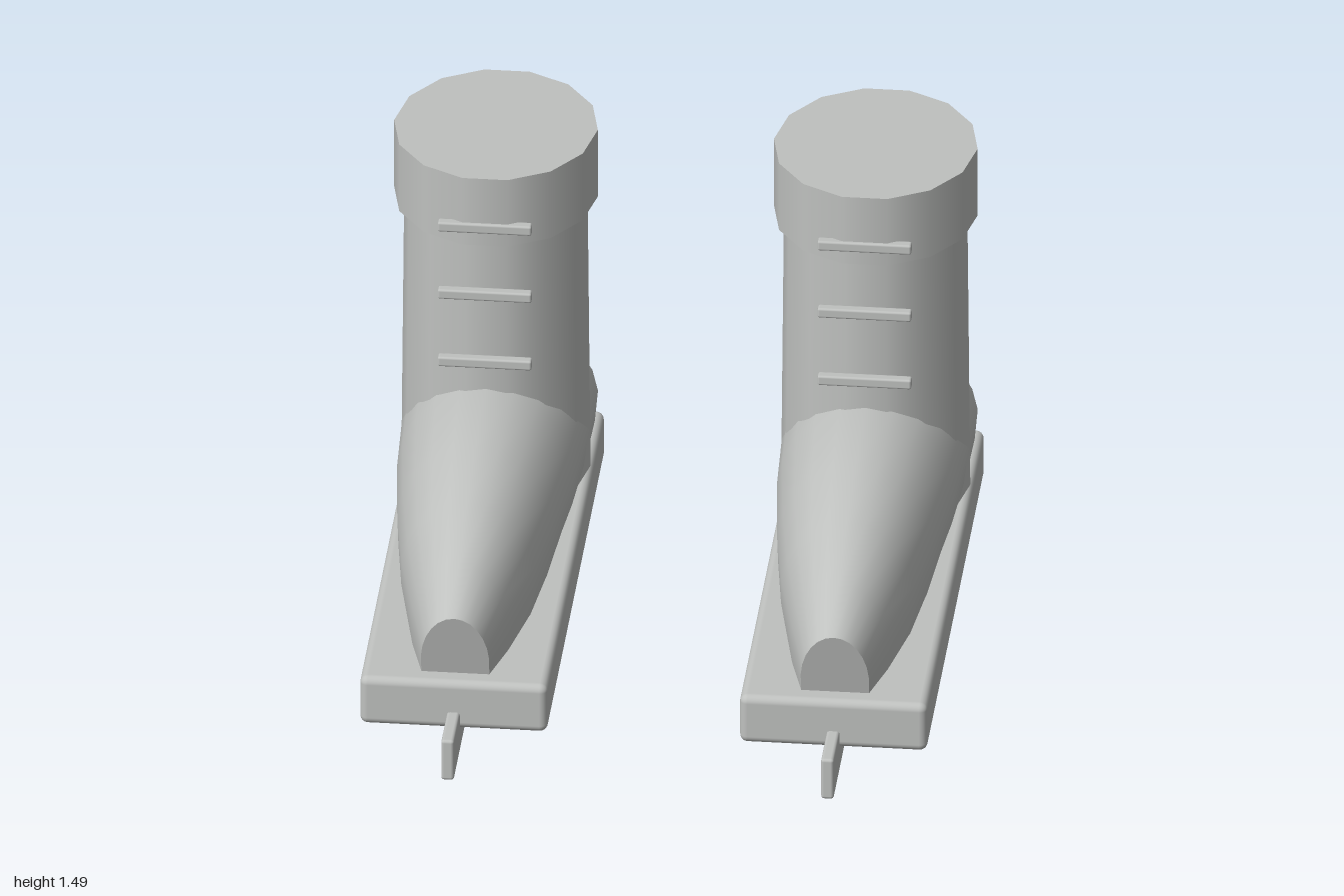
import * as THREE from 'three';
import { toCreasedNormals } from 'three/addons/utils/BufferGeometryUtils.js';
import { RoundedBoxGeometry } from 'three/addons/geometries/RoundedBoxGeometry.js';

const plainGrey = new THREE.MeshStandardMaterial({ color: 0xbfc1bf });

function addPart(parent, name, geometry, x, y, z) {
  const mesh = new THREE.Mesh(geometry, plainGrey);
  mesh.name = name;
  mesh.position.set(x, y, z);
  parent.add(mesh);
}

// 14-sided oval tube with a flat side facing forward
function ovalTube(top, bottom, height, xScale) {
  const sides = 14;
  return new THREE.CylinderGeometry(top, bottom, height, sides, 1, false, Math.PI / sides)
    .scale(xScale, 1, 1);
}

// Foot shell lofted through arched cross-sections from toe to heel
function footShell() {
  const base = 0.238, segments = 14, lower = 0.35;
  // z at base, backward lean, half width, height of widest point, top height
  const sections = [
    [0.755, 0.21, 0.106, 0.29, 0.46],
    [0.6, 0.12, 0.152, 0.33, 0.56],
    [0.37, 0.07, 0.207, 0.37, 0.645],
    [0.12, 0.03, 0.245, 0.4, 0.7],
    [-0.17, 0, 0.275, 0.42, 0.73],
    [-0.45, -0.04, 0.289, 0.42, 0.7],
    [-0.69, -0.13, 0.292, 0.42, 0.65],
  ];
  const points = [], index = [], ring = segments + 1;
  for (const [z, lean, halfWidth, mid, top] of sections) {
    const start = Math.asin((mid - base) / lower);
    for (let j = 0; j <= segments; j++) {
      const a = -start + (j / segments) * (Math.PI + 2 * start);
      const s = Math.sin(a);
      const y = mid + s * (s > 0 ? top - mid : lower);
      points.push(halfWidth * Math.cos(a), y, z + lean * (y - base));
    }
  }
  const last = (sections.length - 1) * ring;
  for (let i = 0; i < last; i += ring) {
    for (let j = 0; j < ring; j++) {
      const k = (j + 1) % ring;
      const a = i + j, b = i + k, c = a + ring, d = b + ring;
      index.push(a, c, b, b, c, d);
    }
  }
  // Flat toe and heel ends
  for (let j = 1; j < segments; j++) {
    index.push(0, j, j + 1, last, last + j + 1, last + j);
  }
  const geometry = new THREE.BufferGeometry();
  geometry.setAttribute('position', new THREE.Float32BufferAttribute(points, 3));
  geometry.setIndex(index);
  return toCreasedNormals(geometry, 0.7);
}

function createSkate(name) {
  const skate = new THREE.Group();
  skate.name = name;
  addPart(skate, 'blade', new RoundedBoxGeometry(0.04, 0.14, 2, 2, 0.01), 0, 0.07, 0);
  addPart(skate, 'sole', new RoundedBoxGeometry(0.58, 0.165, 1.755, 3, 0.025), 0, 0.1625, -0.058);
  addPart(skate, 'footShell', footShell(), 0, 0, 0);
  addPart(skate, 'shaft', ovalTube(0.316, 0.326, 0.96, 0.897), 0, 0.78, -0.48);
  addPart(skate, 'cuff', ovalTube(0.351, 0.351, 0.235, 0.897), 0, 1.3675, -0.482);
  // Lace bars up the front
  for (const y of [0.837, 1.075, 1.312]) {
    addPart(skate, 'laceBar', new RoundedBoxGeometry(0.29, 0.033, 0.033, 2, 0.007), 0, y, -0.146);
  }
  return skate;
}

export function createModel() {
  const model = new THREE.Group();
  model.name = 'iceSkates';
  for (const [name, x] of [['leftSkate', 0.587], ['rightSkate', -0.587]]) {
    const skate = createSkate(name);
    skate.position.x = x;
    model.add(skate);
  }
  return model;
}
